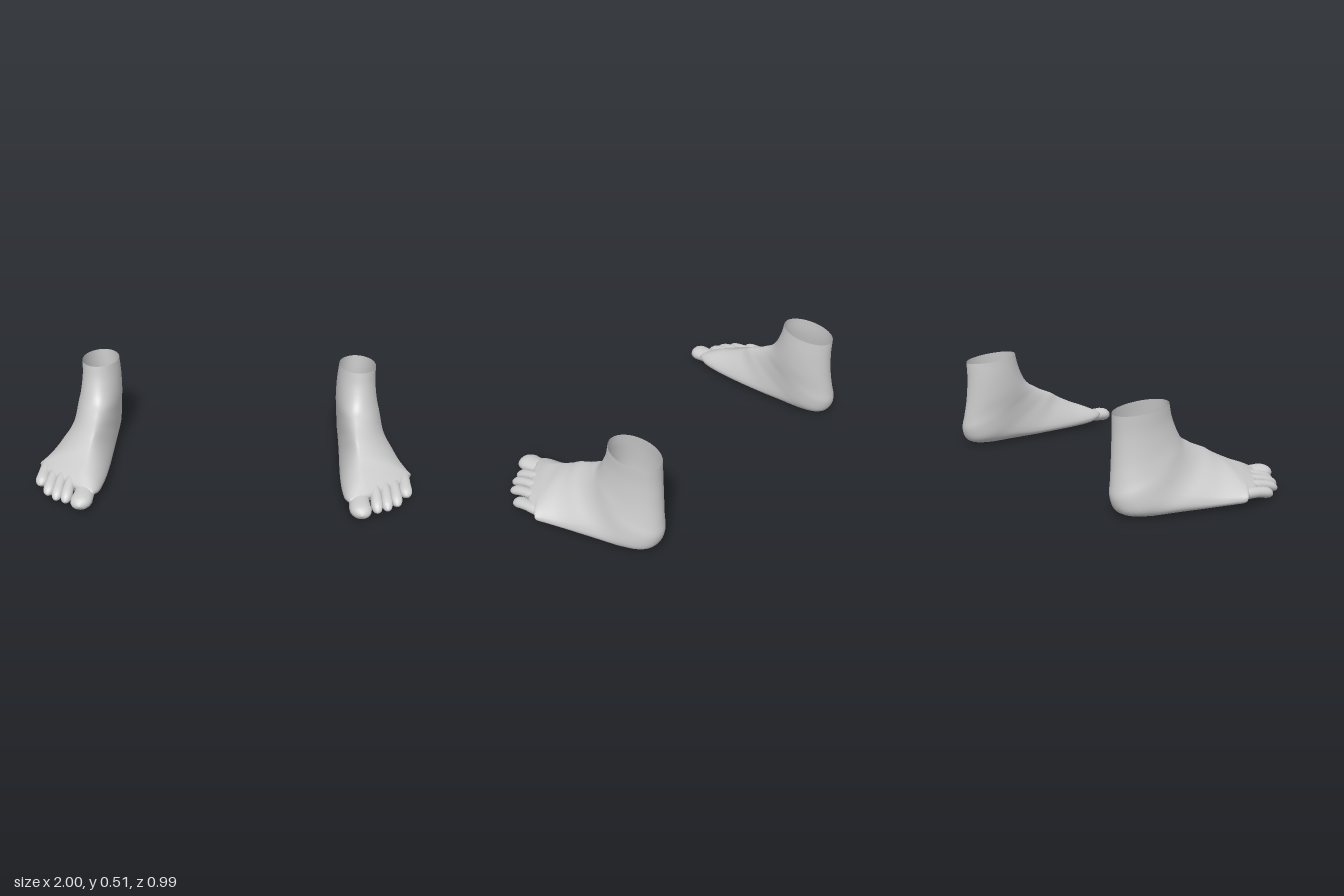
import * as THREE from 'three';

const skin = new THREE.MeshStandardMaterial({ color: 0xcccccc, side: THREE.DoubleSide });
skin.name = 'plain grey';

// Joins closed rings of points into a smooth skin; side = -1 mirrors it in x.
function loft(rings, side) {
  const n = rings[0].length, pos = [], idx = [];
  for (const ring of rings) for (const [x, y, z] of ring) pos.push(x * side, y, z);
  for (let i = 0; i < rings.length - 1; i++) {
    for (let j = 0; j < n; j++) {
      const a = i * n + j, b = i * n + (j + 1) % n, c = a + n, d = b + n;
      if (side > 0) idx.push(a, b, c, b, d, c);
      else idx.push(a, c, b, b, c, d);
    }
  }
  const g = new THREE.BufferGeometry();
  g.setAttribute('position', new THREE.Float32BufferAttribute(pos, 3));
  g.setIndex(idx);
  g.computeVertexNormals();
  return g;
}

// Sections fanning from the ankle opening round the heel to the ball of the foot:
// back/bottom z, y | front/top z, y | inner x, outer x, ridge x |
// widest level, lower roundness, upper roundness, skew of z across the foot
const SECTIONS = [
  [-0.47, 0.48, -0.175, 0.512, 0.61, 0.81, 0.71, 0.5, 2, 2, 0],
  [-0.468, 0.38, -0.158, 0.44, 0.602, 0.812, 0.71, 0.5, 2, 2, 0],
  [-0.475, 0.26, -0.125, 0.365, 0.6, 0.825, 0.71, 0.5, 2, 2, 0],
  [-0.488, 0.16, -0.09, 0.322, 0.605, 0.842, 0.7, 0.5, 2, 1.9, 0],
  [-0.495, 0.09, -0.05, 0.298, 0.61, 0.855, 0.7, 0.45, 2.1, 1.8, 0],
  [-0.465, 0.025, -0.01, 0.275, 0.615, 0.868, 0.7, 0.4, 2.3, 1.8, 0],
  [-0.38, 0.004, 0.03, 0.258, 0.62, 0.885, 0.7, 0.35, 2.5, 1.7, 0],
  [-0.25, 0.005, 0.07, 0.24, 0.622, 0.912, 0.7, 0.3, 2.8, 1.6, 0],
  [-0.1, 0.007, 0.11, 0.215, 0.622, 0.945, 0.705, 0.25, 3, 1.5, 0],
  [0.05, 0.01, 0.16, 0.188, 0.62, 0.98, 0.71, 0.25, 3, 1.5, 0.1],
  [0.18, 0.01, 0.22, 0.16, 0.623, 0.998, 0.72, 0.3, 2.8, 1.5, 0.35],
  [0.28, 0.012, 0.3, 0.13, 0.635, 0.985, 0.74, 0.4, 2.5, 1.7, 0.65],
  [0.35, 0.03, 0.36, 0.1, 0.66, 0.95, 0.76, 0.5, 2, 2, 0.72],
];

// One ring: four rounded quarter arcs meeting at the widest points, ridge and sole
function sectionRing([bz, by, tz, ty, inner, outer, ridge, wide, lowExp, highExp, skew]) {
  const ring = [], N = 48, mid = (inner + outer) / 2;
  for (let j = 0; j < N; j++) {
    const a = (j / N) * Math.PI * 2, c = Math.cos(a), s = Math.sin(a);
    const up = s >= 0, e = 2 / (up ? highExp : lowExp);
    const cx = up ? ridge : mid;
    const x = cx + Math.sign(c) * Math.pow(Math.abs(c), e) * (c > 0 ? outer - cx : cx - inner);
    const v = Math.pow(Math.abs(s), e);
    const t = up ? wide + v * (1 - wide) : wide * (1 - v);
    ring.push([x, by + (ty - by) * t, bz + (tz - bz) * t - skew * (x - 0.72)]);
  }
  return ring;
}

function footBody(side) {
  const last = SECTIONS.length - 1, steps = last * 4;
  const spline = new THREE.CubicInterpolant(SECTIONS.map((_, i) => i), SECTIONS.flat(), 11);
  const rings = [];
  for (let i = 0; i <= steps; i++) rings.push(sectionRing([...spline.evaluate((i / steps) * last)]));
  // rounded closing behind the toes
  const end = rings[rings.length - 1];
  const centre = [0, 1, 2].map(k => end.reduce((sum, p) => sum + p[k], 0) / end.length);
  for (const [f, dz] of [[0.85, 0.012], [0.5, 0.022], [0.001, 0.025]]) {
    rings.push(end.map(p => [
      centre[0] + (p[0] - centre[0]) * f,
      centre[1] + (p[1] - centre[1]) * f,
      p[2] + dz - 0.72 * (centre[0] - p[0]) * (1 - f),
    ]));
  }
  return loft(rings, side);
}

// name, base x, y, z, tip x, y, z, half width, half height, arch
const TOES = [
  ['bigToe', 0.695, 0.07, 0.2, 0.716, 0.048, 0.495, 0.057, 0.038, 0],
  ['secondToe', 0.785, 0.085, 0.2, 0.8, 0.034, 0.435, 0.031, 0.027, 0.018],
  ['thirdToe', 0.838, 0.078, 0.17, 0.853, 0.033, 0.412, 0.03, 0.026, 0.018],
  ['fourthToe', 0.888, 0.068, 0.13, 0.905, 0.033, 0.368, 0.031, 0.026, 0.016],
  ['littleToe', 0.95, 0.058, 0.06, 0.958, 0.037, 0.285, 0.035, 0.028, 0.01],
];
// Toe thickness from buried base to rounded tip
const TOE_PROFILE = [[0, 0.5], [0.15, 0.8], [0.35, 0.95], [0.55, 0.92], [0.7, 0.95], [0.8, 1],
  [0.88, 0.93], [0.94, 0.75], [0.98, 0.45], [1, 0.001]];

function toe([, bx, by, bz, tx, ty, tz, w, h, arch], side) {
  const N = 20;
  const rings = TOE_PROFILE.map(([s, r]) => {
    const ring = [], lift = arch * Math.sin(Math.PI * s);
    for (let j = 0; j < N; j++) {
      const a = (j / N) * Math.PI * 2;
      ring.push([
        bx + (tx - bx) * s + Math.cos(a) * w * r,
        by + (ty - by) * s + lift + Math.sin(a) * h * r,
        bz + (tz - bz) * s,
      ]);
    }
    return ring;
  });
  return loft(rings, side);
}

export function createModel() {
  const model = new THREE.Group();
  model.name = 'pairOfFeet';
  for (const side of [1, -1]) {
    const foot = new THREE.Group();
    foot.name = side > 0 ? 'leftFoot' : 'rightFoot';
    const add = (geometry, name) => {
      const mesh = new THREE.Mesh(geometry, skin);
      mesh.name = name;
      foot.add(mesh);
    };
    add(footBody(side), 'ankleAndFoot');
    for (const t of TOES) add(toe(t, side), t[0]);
    model.add(foot);
  }
  return model;
}
